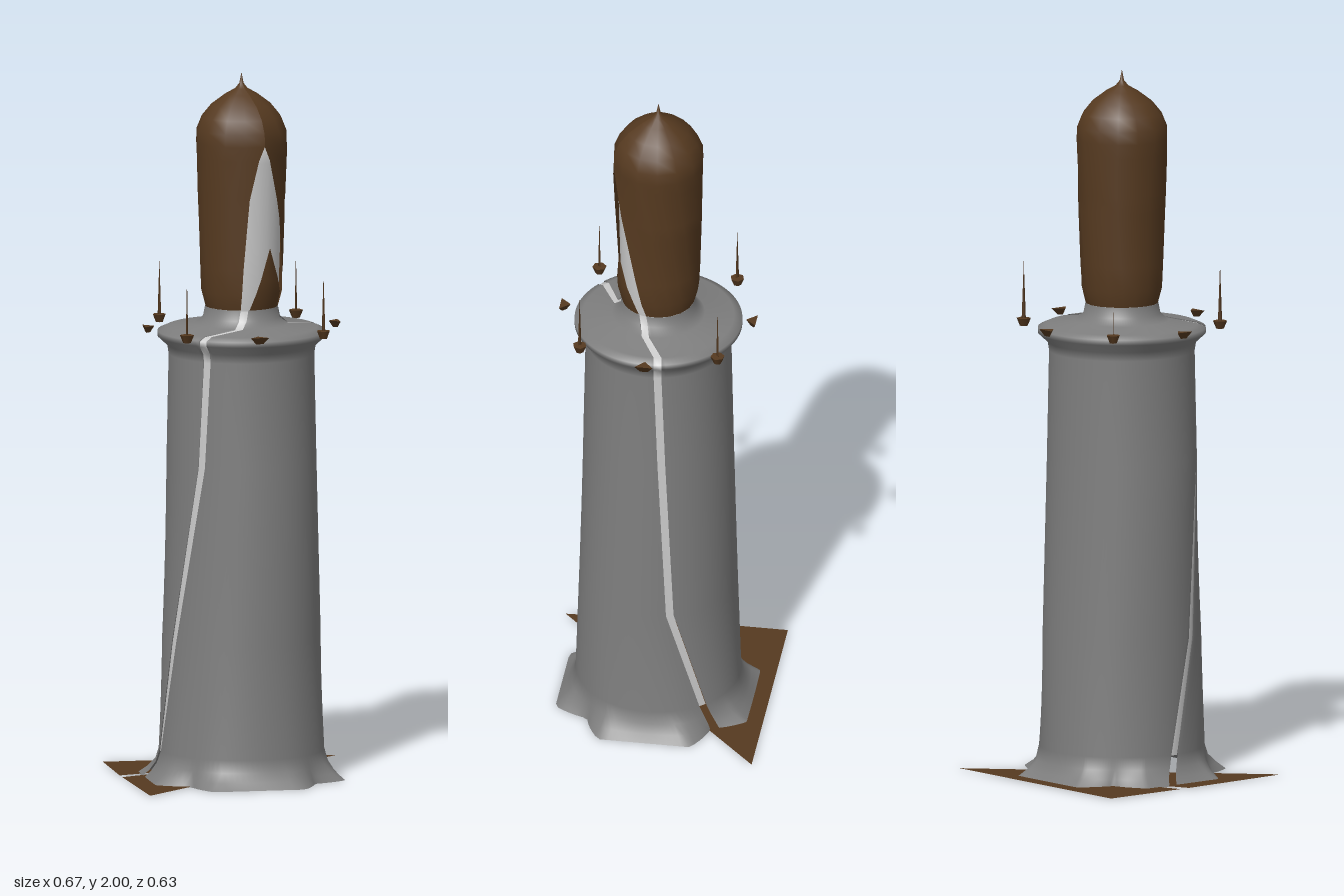
import * as THREE from 'three';

const rad = THREE.MathUtils.degToRad;
const paint = (color) => new THREE.MeshStandardMaterial({ color, side: THREE.DoubleSide });
const stone = paint(0x7e7e7e);
const grey = paint(0xcccccc);
const brown = paint(0x563a20);

function add(parent, name, geometry, material) {
  const mesh = new THREE.Mesh(geometry, material);
  mesh.name = name;
  parent.add(mesh);
  return mesh;
}

// Foot outline: four flat lobes on the axes with hollows on the diagonals
function footRadius(deg) {
  const d = Math.abs(((((deg + 45) % 90) + 90) % 90) - 45);
  return d < 25.5 ? 0.272 / Math.cos(rad(d)) : THREE.MathUtils.lerp(0.301, 0.248, (d - 25.5) / 19.5);
}

// Shell swept between two edge angles; each row is [radius, y, startDeg, endDeg]
function shell(rows, segs) {
  const pos = [], index = [];
  rows.forEach(([r, y, start, end], j) => {
    for (let i = 0; i <= segs; i++) {
      const deg = THREE.MathUtils.lerp(start, end, i / segs);
      const flare = Math.max(0, 1 - y / 0.08) ** 2;
      const rr = THREE.MathUtils.lerp(r, footRadius(deg), flare);
      pos.push(rr * Math.sin(rad(deg)), y, rr * Math.cos(rad(deg)));
      if (j && i) {
        const c = j * (segs + 1) + i, a = c - segs - 1;
        index.push(a - 1, a, c - 1, a, c, c - 1);
      }
    }
  });
  const g = new THREE.BufferGeometry();
  g.setAttribute('position', new THREE.Float32BufferAttribute(pos, 3));
  g.setIndex(index);
  g.computeVertexNormals();
  return g;
}

export function createModel() {
  const group = new THREE.Group();

  // Tower wall, flange and neck: [radius, y, seam A angle, seam B angle]
  const tower = [
    [0.235, 0, -98, 137], [0.235, 0.02, -96, 136], [0.234, 0.045, -93, 134], [0.232, 0.08, -90, 131],
    [0.222, 0.4, -69, 107], [0.210, 0.9, -43, 101], [0.204, 1.2, -39, 98], [0.208, 1.225, -39, 98],
    [0.235, 1.25, -38, 98], [0.235, 1.265, -38, 98], [0.212, 1.275, -37, 98],
    [0.13, 1.285, -14, 82], [0.108, 1.305, -9, 77], [0.102, 1.335, -6, 73],
  ];
  const gap = ([r]) => 0.011 / r * 57.3;
  add(group, 'towerFront', shell(tower.map((p) => [p[0], p[1], p[2] + gap(p), p[3] - gap(p)]), 60), stone);
  add(group, 'towerBack', shell(tower.map((p) => [p[0], p[1], p[3] + gap(p), p[2] + 360 - gap(p)]), 72), stone);

  // Pale strips set into the two seams
  for (const seam of [2, 3]) {
    const strip = tower.slice(3).map((p) => [p[0] - 0.002, p[1] - 0.002, p[seam] - gap(p), p[seam] + gap(p)]);
    add(group, 'seamStrip', shell(strip, 2), grey);
  }

  // Domed cap, split open towards the front
  const cap = [
    [0.102, 1.335, 79, 348], [0.114, 1.38, 74, 350], [0.117, 1.45, 66, 352], [0.122, 1.6, 49, 358],
    [0.124, 1.65, 42, 360], [0.127, 1.76, 28, 372], [0.128, 1.8, 20, 380], [0.127, 1.835, 20, 380],
    [0.112, 1.872, 20, 380], [0.085, 1.905, 20, 380], [0.045, 1.935, 20, 380], [0.018, 1.95, 20, 380],
    [0.006, 1.965, 20, 380], [0, 1.995, 20, 380],
  ];
  add(group, 'cap', shell(cap, 14), brown);
  const wedge = [[0.102, 1.335, 2, 66], [0.114, 1.38, 10, 60], [0.117, 1.42, 17, 50], [0.12, 1.51, 31, 31]];
  add(group, 'capWedge', shell(wedge, 8), brown);

  // Core seen through the opening
  const core = [[0.094, 1.3], [0.104, 1.38], [0.108, 1.5], [0.114, 1.75], [0.112, 1.83], [0, 1.9]];
  add(group, 'core', new THREE.LatheGeometry(core.map((p) => new THREE.Vector2(...p)), 24), grey);

  // Ornaments around the flange: wedges on the axes, spikes on the diagonals
  for (let k = 0; k < 4; k++) {
    const side = new THREE.Group();
    side.name = 'ornaments';
    side.rotation.y = k * Math.PI / 2;
    group.add(side);
    const stud = add(side, 'stud', new THREE.CylinderGeometry(0.03, 0.012, 0.018, 3).rotateY(Math.PI), brown);
    stud.scale.z = 0.65;
    stud.position.set(0, 1.275, 0.268);

    const post = new THREE.Group();
    post.name = 'post';
    post.position.set(0.197, 1.275, 0.193);
    post.rotation.y = Math.PI / 4;
    side.add(post);
    add(post, 'knob', new THREE.CylinderGeometry(0.02, 0.011, 0.022, 6), brown);
    const spike = add(post, 'spike', new THREE.ConeGeometry(0.006, 0.165, 4), brown);
    spike.scale.x = 0.1;
    spike.position.y = 0.09;
  }

  // Triangular ground sheet with a tapering slit
  const corners = [
    [0.333, -0.315], [-0.335, -0.315], [-0.335, -0.063], [0, -0.18], [-0.334, -0.032], [-0.32, 0.312],
  ];
  const outline = new THREE.Shape(corners.map(([x, z]) => new THREE.Vector2(x, -z)));
  const sheet = add(group, 'groundSheet', new THREE.ShapeGeometry(outline).rotateX(-Math.PI / 2), brown);
  sheet.position.y = 0.002;
  return group;
}
